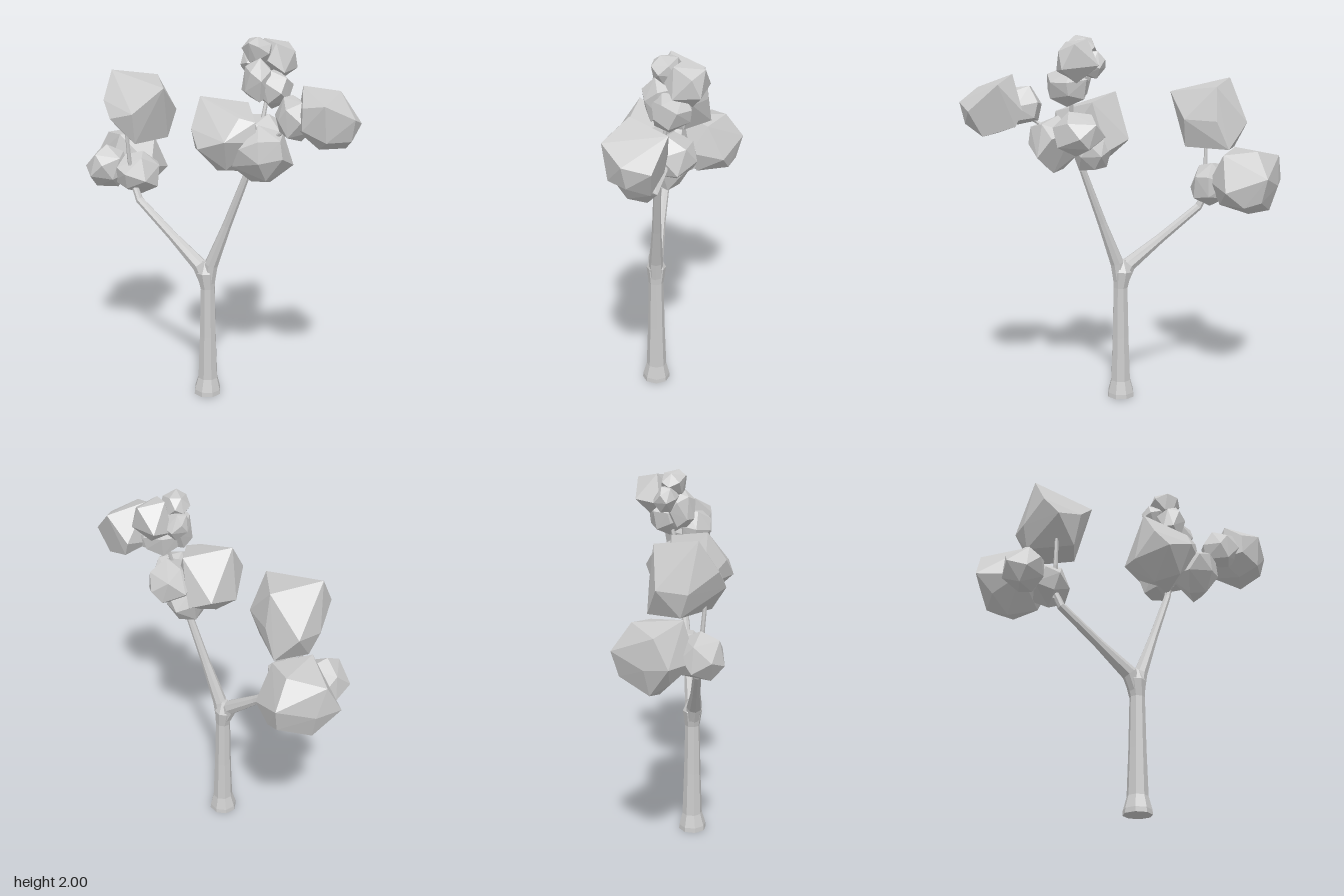
import * as THREE from 'three';
import { ConvexGeometry } from 'three/addons/geometries/ConvexGeometry.js';

const material = new THREE.MeshStandardMaterial({ color: 0xcccccc, flatShading: true });

function seeded(seed) {
  let s = seed * 7919 + 17;
  return () => ((s = (s * 16807) % 2147483647) / 2147483647);
}

// Tapered faceted limb: a cylinder bent along stations [x, y, z, radius]
function limb(name, stations, sides = 8) {
  const n = stations.length - 1;
  const pts = stations.map(([x, y, z]) => new THREE.Vector3(x, y, z));
  const up = new THREE.Vector3(0, 1, 0);
  const turns = pts.map((p, i) => {
    const dir = pts[Math.min(i + 1, n)].clone().sub(pts[Math.max(i - 1, 0)]).normalize();
    return new THREE.Quaternion().setFromUnitVectors(up, dir);
  });
  const geo = new THREE.CylinderGeometry(1, 1, 1, sides, n);
  const pos = geo.attributes.position;
  const v = new THREE.Vector3();
  for (let k = 0; k < pos.count; k++) {
    v.fromBufferAttribute(pos, k);
    const i = Math.round((v.y + 0.5) * n);
    v.setY(0).multiplyScalar(stations[i][3]).applyQuaternion(turns[i]).add(pts[i]);
    pos.setXYZ(k, v.x, v.y, v.z);
  }
  const flat = geo.toNonIndexed();
  flat.computeVertexNormals();
  const mesh = new THREE.Mesh(flat, material);
  mesh.name = name;
  return mesh;
}

// Angular leaf clump: hull of a few corner points
function hullClump(name, corners) {
  const mesh = new THREE.Mesh(new ConvexGeometry(corners.map((c) => new THREE.Vector3(...c))), material);
  mesh.name = name;
  return mesh;
}

// Small leaf clump: hull of jittered sphere points, fitted to centre and half sizes
function clump(name, [x, y, z], [hx, hy, hz], seed, count = 16) {
  const rnd = seeded(seed);
  const pts = [];
  const spin = rnd() * 6.28;
  for (let i = 0; i < count; i++) {
    const h = 1 - (2 * (i + 0.5)) / count;
    const a = i * 2.39996 + spin + (rnd() - 0.5) * 0.45;
    const r = Math.sqrt(1 - h * h);
    const p = new THREE.Vector3(r * Math.cos(a), h + (rnd() - 0.5) * 0.15, r * Math.sin(a));
    pts.push(p.normalize().multiplyScalar(0.94 + rnd() * 0.12));
  }
  const tilt = new THREE.Euler(rnd() * 3, rnd() * 3, rnd() * 3);
  pts.forEach((p) => p.applyEuler(tilt));
  const box = new THREE.Box3().setFromPoints(pts);
  const mid = box.getCenter(new THREE.Vector3());
  const size = box.getSize(new THREE.Vector3());
  const full = new THREE.Vector3(hx, hy, hz).multiplyScalar(2);
  pts.forEach((p) => p.sub(mid).divide(size).multiply(full));
  const mesh = new THREE.Mesh(new ConvexGeometry(pts), material);
  mesh.position.set(x, y, z);
  mesh.name = name;
  return mesh;
}

export function createModel() {
  const tree = new THREE.Group();
  tree.name = 'tree';

  // Trunk with flared foot, and the two main limbs leaving the fork
  const wood = new THREE.Group();
  wood.name = 'wood';
  wood.add(
    limb('trunk', [
      [-0.032, 0.005, 0.05, 0.077], [-0.032, 0.03, 0.05, 0.075], [-0.03, 0.1, 0.05, 0.056],
      [-0.03, 0.35, 0.05, 0.047], [-0.03, 0.63, 0.05, 0.041], [-0.036, 0.72, 0.042, 0.054],
      [-0.034, 0.785, 0.044, 0.022],
    ]),
    limb('frontLimb', [
      [-0.03, 0.63, 0.05, 0.036], [-0.015, 0.77, 0.065, 0.038], [0.05, 1.0, 0.125, 0.025],
      [0.13, 1.29, 0.2, 0.019], [0.15, 1.45, 0.22, 0.015],
    ]),
    limb('backLimb', [
      [-0.03, 0.64, 0.05, 0.036], [-0.065, 0.755, 0.015, 0.042], [-0.17, 0.89, -0.13, 0.027],
      [-0.3, 1.06, -0.31, 0.022], [-0.32, 1.15, -0.35, 0.018],
    ]),
    // Thin twigs carrying the outer clumps
    limb('backTwig', [[-0.31, 1.1, -0.34, 0.017], [-0.345, 1.28, -0.335, 0.012], [-0.36, 1.45, -0.33, 0.01]], 6),
    limb('topTwig', [[0.15, 1.42, 0.22, 0.014], [0.2, 1.57, 0.23, 0.012], [0.23, 1.7, 0.22, 0.01]], 6),
    limb('frontTwig', [[0.16, 1.46, 0.33, 0.014], [0.21, 1.55, 0.43, 0.01], [0.3, 1.62, 0.52, 0.01]], 6),
  );

  const foliage = new THREE.Group();
  foliage.name = 'foliage';

  // Large angular clumps
  foliage.add(
    hullClump('backUpperClump', [
      [-0.4, 1.77, -0.45], [-0.14, 1.73, -0.45], [-0.195, 1.7, -0.175], [-0.085, 1.56, -0.29],
      [-0.12, 1.55, -0.46], [-0.25, 1.54, -0.59], [-0.47, 1.62, -0.38], [-0.46, 1.53, -0.3],
      [-0.365, 1.565, -0.2], [-0.34, 1.395, -0.24], [-0.15, 1.4, -0.52], [-0.33, 1.4, -0.5],
      [-0.14, 1.41, -0.28], [-0.38, 1.52, -0.51],
    ]),
    hullClump('backLowerClump', [
      [-0.06, 1.18, -0.53], [-0.1, 1.26, -0.745], [-0.3, 1.2, -0.755], [-0.43, 1.22, -0.74],
      [-0.35, 1.36, -0.745], [-0.35, 1.395, -0.5], [-0.17, 1.395, -0.67], [-0.15, 1.37, -0.49],
      [-0.28, 1.04, -0.6], [-0.3, 1.065, -0.71], [-0.1, 1.1, -0.62], [-0.2, 1.095, -0.46],
      [-0.2, 1.22, -0.4], [-0.42, 1.2, -0.5], [-0.12, 1.13, -0.71], [-0.38, 1.12, -0.66],
    ]),
    hullClump('middleClump', [
      [-0.09, 1.7, 0.1], [0.05, 1.46, -0.03], [-0.165, 1.55, 0.17], [-0.16, 1.46, 0.25],
      [-0.06, 1.51, 0.36], [0.105, 1.5, 0.385], [0.165, 1.655, 0.13], [-0.015, 1.315, 0.15],
      [0.13, 1.31, 0.2], [0.16, 1.4, 0.05], [-0.1, 1.42, 0.05], [0.17, 1.46, 0.28],
      [-0.02, 1.35, 0.29], [0.03, 1.62, 0.33], [0.1, 1.6, 0.37],
    ]),
    hullClump('middleFrontClump', [
      [0.13, 1.58, 0.34], [0, 1.48, 0.4], [-0.01, 1.38, 0.34], [0.1, 1.29, 0.33],
      [0.2, 1.28, 0.34], [0.31, 1.37, 0.38], [0.3, 1.47, 0.3], [0.08, 1.52, 0.45],
      [0.2, 1.43, 0.485], [0.19, 1.52, 0.475], [0.08, 1.41, 0.46], [0.14, 1.31, 0.42],
      [0.22, 1.5, 0.22], [0.1, 1.4, 0.21], [0.25, 1.54, 0.38],
    ]),
    hullClump('frontClump', [
      [0.28, 1.8, 0.53], [0.41, 1.62, 0.41], [0.5, 1.755, 0.5], [0.54, 1.62, 0.65],
      [0.45, 1.66, 0.75], [0.3, 1.73, 0.725], [0.23, 1.6, 0.63], [0.485, 1.49, 0.6],
      [0.34, 1.495, 0.6], [0.32, 1.55, 0.71], [0.42, 1.54, 0.445], [0.26, 1.58, 0.5],
      [0.23, 1.71, 0.63], [0.45, 1.55, 0.72],
    ]),
    hullClump('topSideClump', [
      [0.325, 1.85, 0.025], [0.41, 1.83, 0.19], [0.385, 1.955, 0.13], [0.25, 1.98, 0.12],
      [0.27, 1.965, 0.23], [0.3, 1.82, 0.27], [0.32, 1.76, 0.15], [0.22, 1.82, 0.1],
      [0.38, 1.92, 0.22], [0.22, 1.88, 0.24],
    ]),
  );

  // Small clumps: name, centre, half sizes
  const small = [
    ['limbEndClump', [-0.285, 1.195, -0.385], [0.125, 0.12, 0.115]],
    ['backSideClump', [-0.43, 1.23, -0.485], [0.113, 0.12, 0.11]],
    ['middleSideClump', [0.215, 1.495, 0.185], [0.12, 0.115, 0.13]],
    ['middleLowClump', [0.14, 1.4, 0.14], [0.11, 0.1, 0.1]],
    ['frontInnerClump', [0.25, 1.635, 0.5], [0.09, 0.105, 0.11]],
    ['topLowClump', [0.255, 1.735, 0.23], [0.1, 0.1, 0.115]],
    ['topInnerClump', [0.168, 1.79, 0.22], [0.073, 0.11, 0.09]],
    ['topCrownClump', [0.19, 1.93, 0.185], [0.072, 0.07, 0.088]],
    ['topBackClump', [0.19, 1.85, 0.12], [0.065, 0.07, 0.07]],
  ];
  small.forEach(([name, at, half], i) => foliage.add(clump(name, at, half, i + 3)));

  tree.add(wood, foliage);
  return tree;
}
